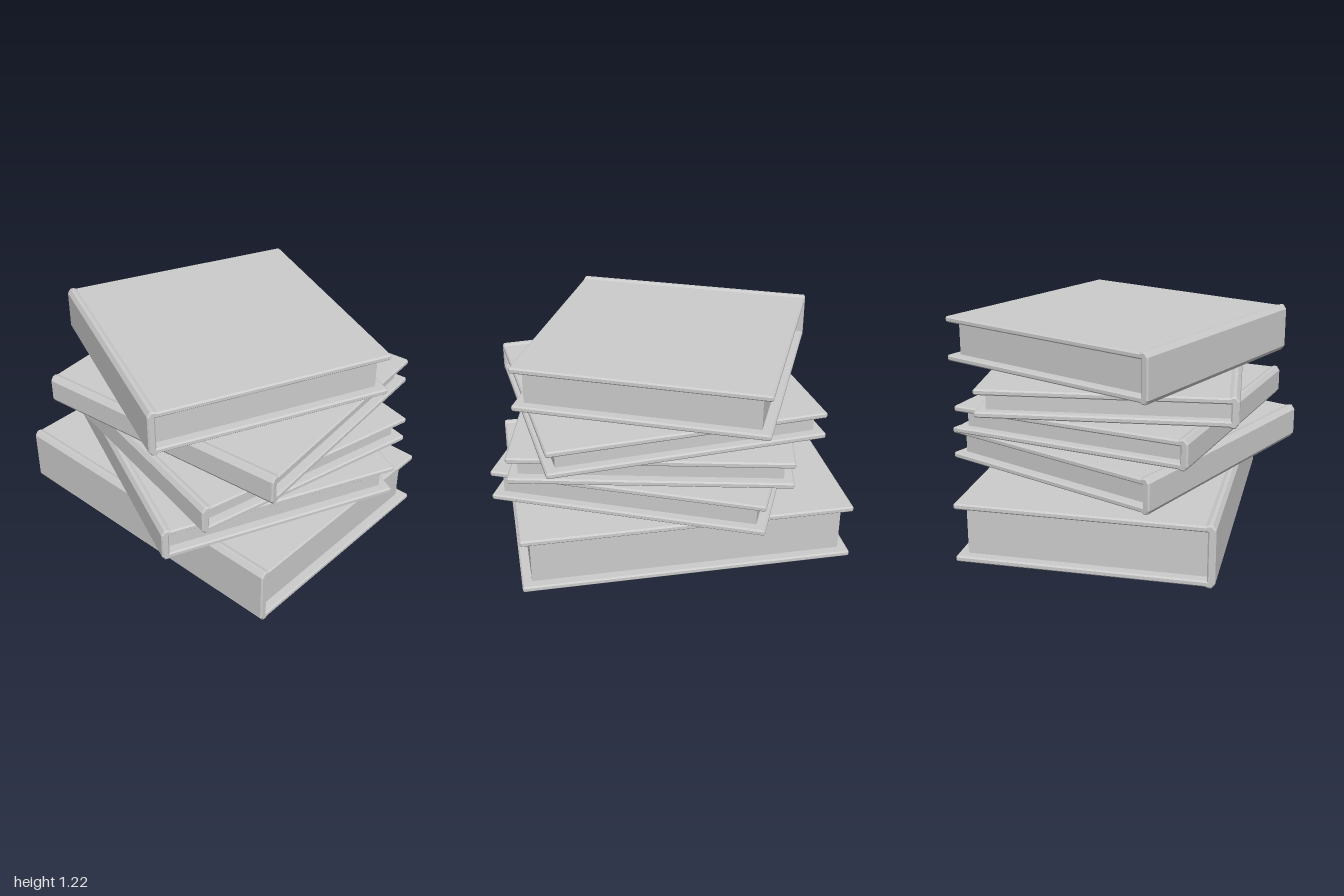
import * as THREE from 'three';

const material = new THREE.MeshStandardMaterial({ color: 0xcccccc, flatShading: true });
const COVER = 0.033;  // board thickness
const SPINE = 0.043;  // spine thickness
const INSET = 0.055;  // how far the boards overhang the pages
const LIP = 0.007;    // spine stands slightly proud of the boards
const BEVEL = 0.008;

// One hardback lying flat: spine along +z, base at y = 0
function makeBook(width, depth, height) {
  const book = new THREE.Group();
  const f = depth / 2, b = -depth / 2;
  const lo = LIP, hi = height - LIP, c = 0.008;

  // Cover: C-shaped section (z, y) with chamfered spine and board edges
  const section = new THREE.Shape([
    [f, 0.025], [f, height - 0.025], [f - 0.018, height], [f - 0.036, height], [f - 0.055, hi],
    [b + c, hi], [b, hi - c], [b, hi - COVER + c], [b + c, hi - COVER],
    [f - SPINE, hi - COVER], [f - SPINE, lo + COVER],
    [b + c, lo + COVER], [b, lo + COVER - c], [b, lo + c], [b + c, lo],
    [f - 0.055, lo], [f - 0.036, 0], [f - 0.018, 0],
  ].map(([z, y]) => new THREE.Vector2(z, y)));
  const coverGeometry = new THREE.ExtrudeGeometry(section, {
    depth: width - 2 * BEVEL, bevelEnabled: true, bevelSegments: 1,
    bevelSize: BEVEL, bevelOffset: -BEVEL, bevelThickness: BEVEL,
  });
  coverGeometry.translate(0, 0, BEVEL - width / 2).rotateY(-Math.PI / 2);
  const cover = new THREE.Mesh(coverGeometry, material);
  cover.name = 'cover';

  // Page block, set in from the three open edges
  const pageDepth = depth - SPINE - INSET;
  const pages = new THREE.Mesh(
    new THREE.BoxGeometry(width - 2 * INSET, hi - lo - 2 * COVER + 0.004, pageDepth), material);
  pages.position.set(0, height / 2, b + INSET + pageDepth / 2);
  pages.name = 'pages';

  book.add(cover, pages);
  return book;
}

export function createModel() {
  const stack = new THREE.Group();
  stack.name = 'bookStack';
  // width, depth, bottom y, top y, centre x, centre z, turn in degrees
  const books = [
    [1.875, 1.40, 0.00, 0.35, -0.0625, -0.03, 0],
    [1.545, 1.40, 0.365, 0.565, 0.005, 0.00, -24.2],
    [1.545, 1.40, 0.585, 0.757, 0.008, -0.013, -12.6],
    [1.545, 1.40, 0.76, 0.932, 0.015, -0.04, 5.6],
    [1.395, 1.40, 0.95, 1.22, -0.065, -0.04, -24.2],
  ];
  books.forEach(([w, d, y0, y1, x, z, turn], i) => {
    const book = makeBook(w, d, y1 - y0);
    book.name = `book${i + 1}`;
    book.position.set(x, y0, z);
    book.rotation.y = THREE.MathUtils.degToRad(turn);
    stack.add(book);
  });
  return stack;
}
